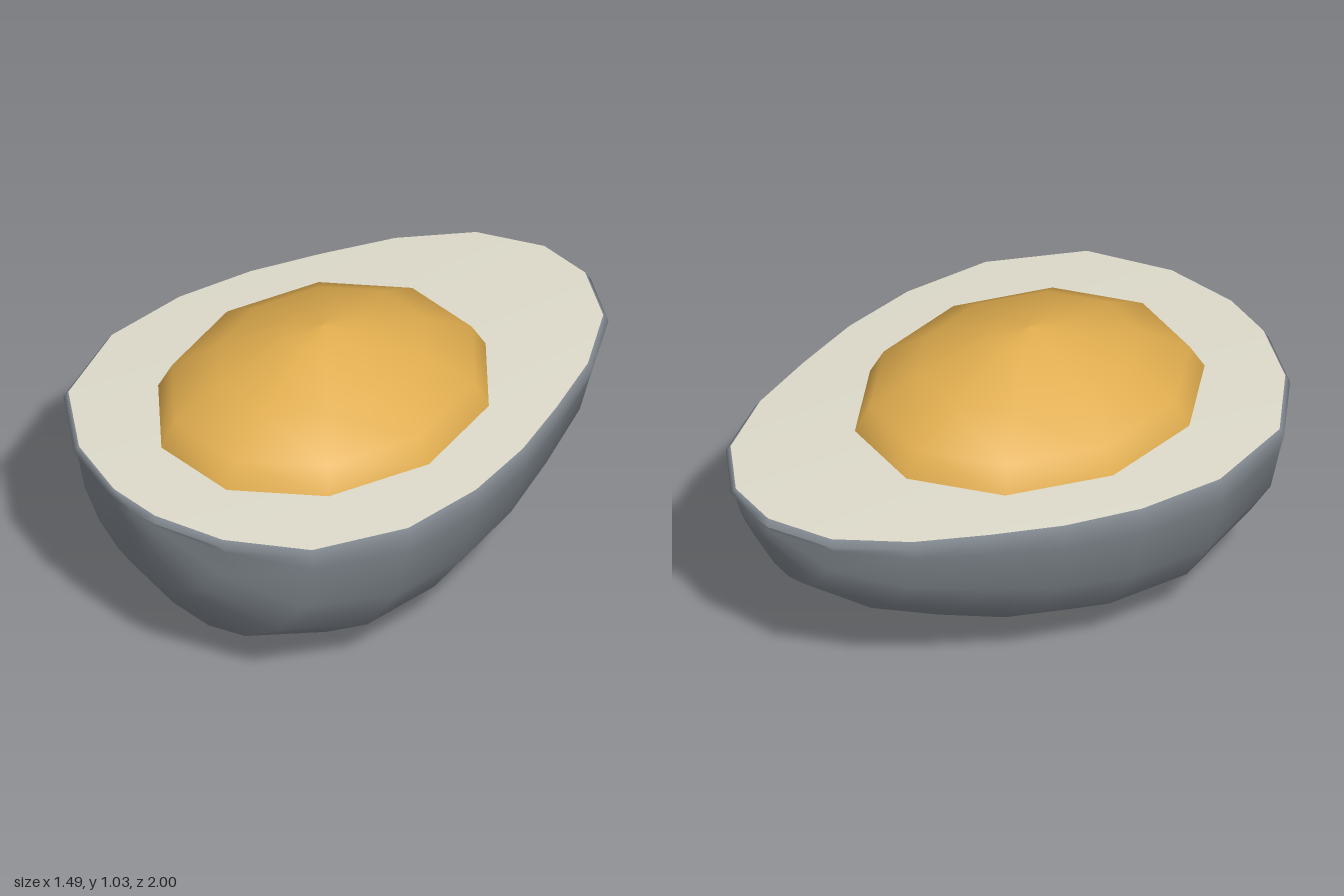
import * as THREE from 'three';

const CUT = 0.735; // height of the flat cut face

const shellGrey = new THREE.MeshStandardMaterial({ color: 0x858c93 });
shellGrey.name = 'shellGrey';
const eggWhite = new THREE.MeshStandardMaterial({ color: 0xdedbcb });
eggWhite.name = 'eggWhite';
const yolkYellow = new THREE.MeshStandardMaterial({ color: 0xe0ad4f });
yolkYellow.name = 'yolkYellow';

// Half egg: cross-sections along z, closed by two end caps and the flat cut face
function halfEggGeometry() {
  const stations = [ // [z, radius], back to front
    [-0.985, 0.115], [-0.87, 0.327], [-0.65, 0.487], [-0.41, 0.592], [-0.17, 0.683],
    [0.1, 0.742], [0.41, 0.742], [0.73, 0.612], [0.91, 0.367], [0.985, 0.115],
  ];
  const angles = [-82, -64, -45, -26, -8.2, 8.2, 26, 45, 64, 82];
  const pos = [];
  const index = [];

  // Each section runs bevel, rim, arc, rim, bevel from -x to +x
  for (const [z, r] of stations) {
    const rim = r * 1.006;
    pos.push(-rim + 0.015, CUT, z * 1.004, -rim, CUT - 0.023, z * 1.015);
    for (const a of angles) {
      const t = THREE.MathUtils.degToRad(a);
      pos.push(r * Math.sin(t), CUT - r * Math.cos(t), z);
    }
    pos.push(rim, CUT - 0.023, z * 1.015, rim - 0.015, CUT, z * 1.004);
  }
  const n = angles.length + 4;
  const last = stations.length - 1;
  for (let i = 0; i < last; i++) {
    for (let j = 0; j < n - 1; j++) {
      const a = i * n + j, b = a + n;
      index.push(a, a + 1, b, a + 1, b + 1, b);
    }
  }

  // Blunt ends
  const back = pos.length / 3, front = back + 1, centre = back + 2;
  pos.push(0, CUT - 0.04, -0.995, 0, CUT - 0.04, 0.995, 0, CUT, 0.1);
  for (let j = 0; j < n; j++) {
    const k = (j + 1) % n;
    index.push(front, last * n + j, last * n + k, back, k, j);
  }
  const shellCount = index.length;

  // Cut face as a fan
  const loop = [];
  for (let i = last; i >= 0; i--) loop.push(i * n + n - 1);
  for (let i = 0; i <= last; i++) loop.push(i * n);
  loop.forEach((p, i) => index.push(centre, p, loop[(i + 1) % loop.length]));

  const geo = new THREE.BufferGeometry();
  geo.setAttribute('position', new THREE.Float32BufferAttribute(pos, 3));
  geo.setIndex(index);
  geo.addGroup(0, shellCount, 0);
  geo.addGroup(shellCount, index.length - shellCount, 1);
  geo.computeVertexNormals();
  return geo;
}

// Ten-sided domed yolk, slightly longer than wide
function yolkGeometry() {
  const profile = [[1, CUT - 0.01], [1, CUT], [0.915, 0.825], [0.633, 0.925], [0.228, 1.015], [0, 1.035]]
    .map(([r, y]) => new THREE.Vector2(r, y));
  const geo = new THREE.LatheGeometry(profile, 10, Math.PI / 2);
  geo.scale(0.52, 1, 0.626);
  geo.translate(0, 0, 0.12);
  return geo;
}

export function createModel() {
  const model = new THREE.Group();
  model.name = 'halfEgg';

  const shell = new THREE.Mesh(halfEggGeometry(), [shellGrey, eggWhite]);
  shell.name = 'shellAndWhite';
  const yolk = new THREE.Mesh(yolkGeometry(), yolkYellow);
  yolk.name = 'yolk';

  model.add(shell, yolk);
  return model;
}
